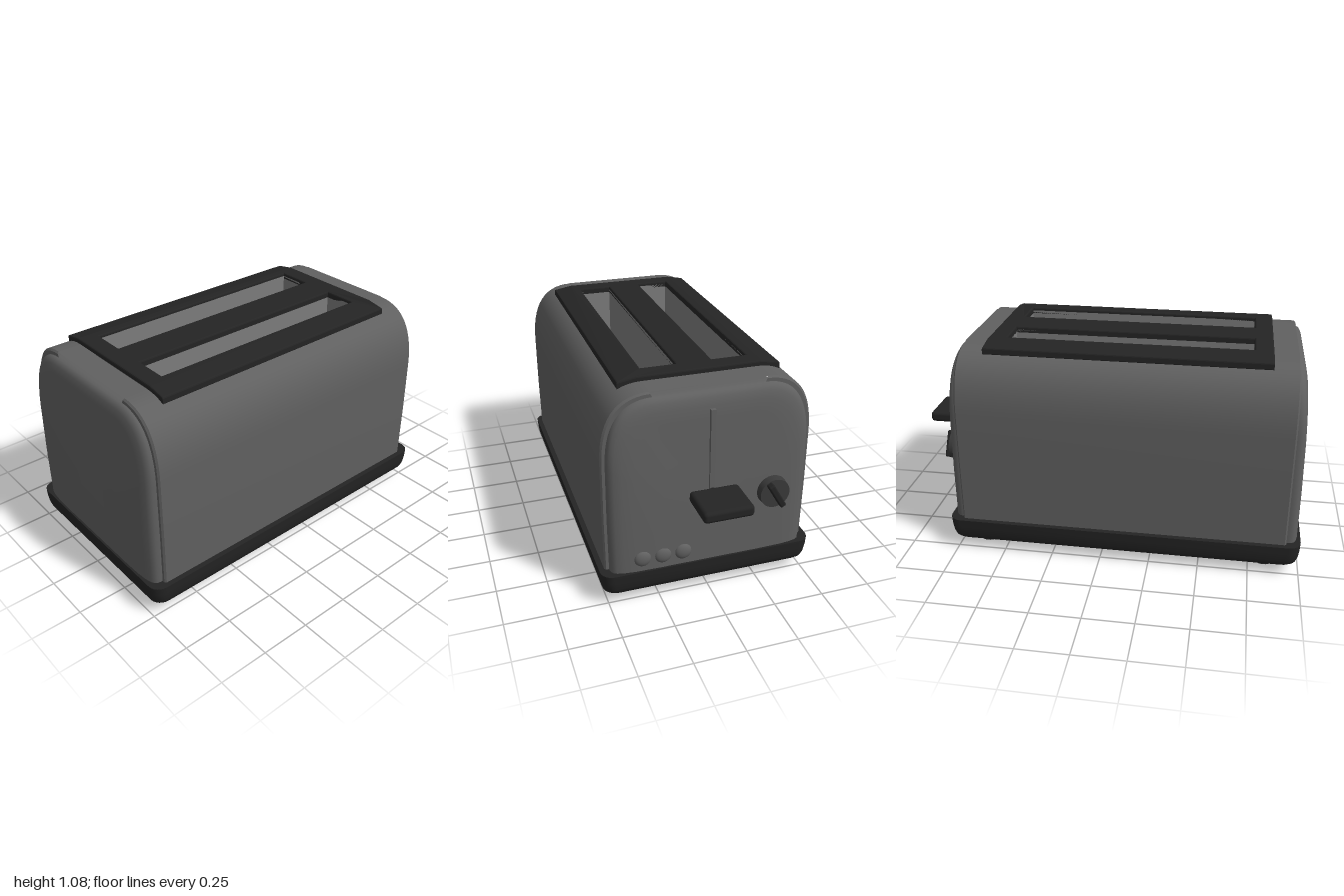
import * as THREE from 'three';
import { toCreasedNormals } from 'three/addons/utils/BufferGeometryUtils.js';
import { RoundedBoxGeometry } from 'three/addons/geometries/RoundedBoxGeometry.js';

const paint = (color, side = THREE.FrontSide) => new THREE.MeshStandardMaterial({ color, side });
const steel = paint(0x606060);
const black = paint(0x242424);
const dark = paint(0x3a3a3a);
const liner = paint(0x7c7c7c, THREE.DoubleSide);

const MID = -0.107;                       // x centre of the body
const SLOT = { w: 1.21, d: 0.17, z: 0.173 }; // bread slot size and offset

// Skin a row of equal-length rings; optionally close around and fan the ends.
function loft(rings, { closed = true, start = false, end = false } = {}) {
  const n = rings[0].length, pos = [], idx = [];
  rings.forEach(r => r.forEach(p => pos.push(...p)));
  const span = closed ? n : n - 1;
  for (let j = 0; j < rings.length - 1; j++) {
    for (let i = 0; i < span; i++) {
      const k = (i + 1) % n, a = j * n + i, b = j * n + k;
      idx.push(a, b, b + n, a, b + n, a + n);
    }
  }
  const fan = (j, flip) => {
    const c = pos.length / 3;
    pos.push(...[0, 1, 2].map(m => rings[j].reduce((s, p) => s + p[m], 0) / n));
    for (let i = 0; i < n; i++) {
      const a = j * n + i, b = j * n + (i + 1) % n;
      idx.push(...(flip ? [b, a, c] : [a, b, c]));
    }
  };
  if (start) fan(0, true);
  if (end) fan(rings.length - 1, false);
  const g = new THREE.BufferGeometry();
  g.setAttribute('position', new THREE.Float32BufferAttribute(pos, 3));
  g.setIndex(idx);
  return toCreasedNormals(g, 0.6);
}

// Arched body section as [z, y], from the top down +z, under, and up -z.
function bodySection() {
  const arch = new THREE.QuadraticBezierCurve(
    new THREE.Vector2(0.28, 1.06), new THREE.Vector2(0.51, 1.06), new THREE.Vector2(0.51, 0.74));
  const half = arch.getPoints(14).map(p => [p.x, p.y]);
  half.push([0.51, 0.45], [0.505, 0.12]);
  return [...half, ...half.map(([z, y]) => [-z, y]).reverse()];
}
const section = bodySection();
const inset = (x, d, lean = 0) => section.map(([z, y]) => {
  const t = (y - 0.12) / 0.94;
  return [x - lean * t ** 3, 0.12 + (y - 0.12) * (1 - d / 0.94), z * (1 - d / 0.51)];
});

// Rounded rectangle in plan at height y.
function planRing(w, d, r, y) {
  const pts = [];
  for (let q = 0; q < 4; q++) {
    const sx = q === 0 || q === 3 ? 1 : -1, sy = q < 2 ? 1 : -1;
    for (let i = 0; i <= 6; i++) {
      const a = (q + i / 6) * Math.PI / 2;
      pts.push([sx * (w - r) + r * Math.cos(a), y, -(sy * (d - r) + r * Math.sin(a))]);
    }
  }
  return pts;
}

const rectPoints = (w, d, z = 0) =>
  [[-1, -1], [1, -1], [1, 1], [-1, 1]].map(([a, b]) => new THREE.Vector2(a * w / 2, z + b * d / 2));
const slotHoles = grow => [-1, 1].map(s =>
  new THREE.Path(rectPoints(SLOT.w + grow, SLOT.d + grow, s * SLOT.z)));

export function createModel() {
  const model = new THREE.Group();
  const body = new THREE.Group();
  body.name = 'toaster';
  body.position.x = MID;
  model.add(body);
  const add = (name, geometry, material, x = 0, y = 0, z = 0) => {
    const m = new THREE.Mesh(geometry, material);
    m.name = name;
    m.position.set(x, y, z);
    body.add(m);
    return m;
  };

  // Wraparound shell, open along the top where the plate sits
  add('shell', loft([[-0.822, 0.04], [-0.822, 0.008], [-0.814, 0], [0.814, 0], [0.822, 0.008], [0.822, 0.04]]
    .map(([x, d]) => inset(x, d)), { closed: false }), steel);
  const plate = new THREE.Shape(rectPoints(1.636, 0.56));
  plate.holes = slotHoles(0);
  add('topPlate', new THREE.ShapeGeometry(plate).rotateX(-Math.PI / 2), steel, 0, 1.06, 0);

  // Softly domed end caps
  const capRings = [[0.79, 0.022], [0.83, 0.022], [0.846, 0.025], [0.858, 0.033], [0.868, 0.05],
    [0.876, 0.085], [0.881, 0.14], [0.884, 0.28]];
  const capGeometry = loft(capRings.map(([x, d]) => inset(x, d, 0.018)), { end: true });
  add('rightEndCap', capGeometry, steel).rotation.y = Math.PI;
  add('leftEndCap', capGeometry, steel);

  // Slot surround with sides that droop over the shell curve
  const outline = new THREE.Shape([[-0.69, -0.385], [0.69, -0.385], [0.69, -0.3], [0.69, 0.3],
    [0.69, 0.385], [-0.69, 0.385], [-0.69, 0.3], [-0.69, -0.3]].map(p => new THREE.Vector2(...p)));
  outline.holes = slotHoles(0.014);
  const surround = new THREE.ExtrudeGeometry(outline,
    { depth: 0.024, bevelSize: 0.007, bevelThickness: 0.007, bevelSegments: 2 });
  surround.rotateX(-Math.PI / 2);
  const sp = surround.attributes.position;
  for (let i = 0; i < sp.count; i++) {
    if (Math.abs(sp.getZ(i)) > 0.34) sp.setY(i, sp.getY(i) - 0.016);
  }
  surround.computeVertexNormals();
  add('slotSurround', surround, black, 0, 1.053, 0);

  // Open-topped bread wells
  for (const s of [-1, 1]) {
    const ring = y => rectPoints(SLOT.w, SLOT.d).map(p => [p.x, y, -p.y]);
    add('breadWell', loft([ring(0.3), ring(1.068)], { start: true }), liner, 0, 0, s * SLOT.z);
  }

  // Base tray
  add('base', loft([[0.05, 0.05], [0.027, 0.055], [0.014, 0.068], [0.007, 0.09], [0.002, 0.13], [0, 0.17]]
    .map(([d, y]) => planRing(0.893 - d, 0.532 - d, 0.06, y)), { start: true, end: true }), black);

  // Feet
  for (const x of [-0.723, 0.723]) {
    for (const z of [-0.38, 0.38]) {
      add('foot', new THREE.CylinderGeometry(0.053, 0.053, 0.06, 28), black, x, 0.03, z);
    }
  }

  // Lever track, stem and handle
  add('leverTrack', new THREE.BoxGeometry(0.02, 0.57, 0.024), steel, 0.874, 0.675, 0).rotation.z = 0.02;
  add('leverStem', new THREE.BoxGeometry(0.06, 0.03, 0.02), black, 0.89, 0.552, 0);
  add('leverHandle', new RoundedBoxGeometry(0.207, 0.056, 0.24, 3, 0.018), black, 1.0035, 0.553, 0);

  // Browning dial with a tilted grip
  const dial = new THREE.Group();
  dial.name = 'browningDial';
  dial.position.set(0.88, 0.495, -0.307);
  const disc = new THREE.Mesh(new THREE.CylinderGeometry(0.074, 0.078, 0.05, 40).rotateZ(-Math.PI / 2), dark);
  disc.name = 'dialDisc';
  disc.position.x = 0.012;
  const grip = new THREE.Mesh(new RoundedBoxGeometry(0.06, 0.14, 0.03, 2, 0.008), black);
  grip.name = 'dialGrip';
  grip.position.x = 0.041;
  grip.rotation.x = 0.53;
  dial.add(disc, grip);
  body.add(dial);

  // Domed push buttons
  for (const z of [0.135, 0.235, 0.335]) {
    add('button', new THREE.SphereGeometry(0.041, 28, 18).scale(0.5, 1, 1), steel, 0.878, 0.237, z);
  }
  return model;
}
